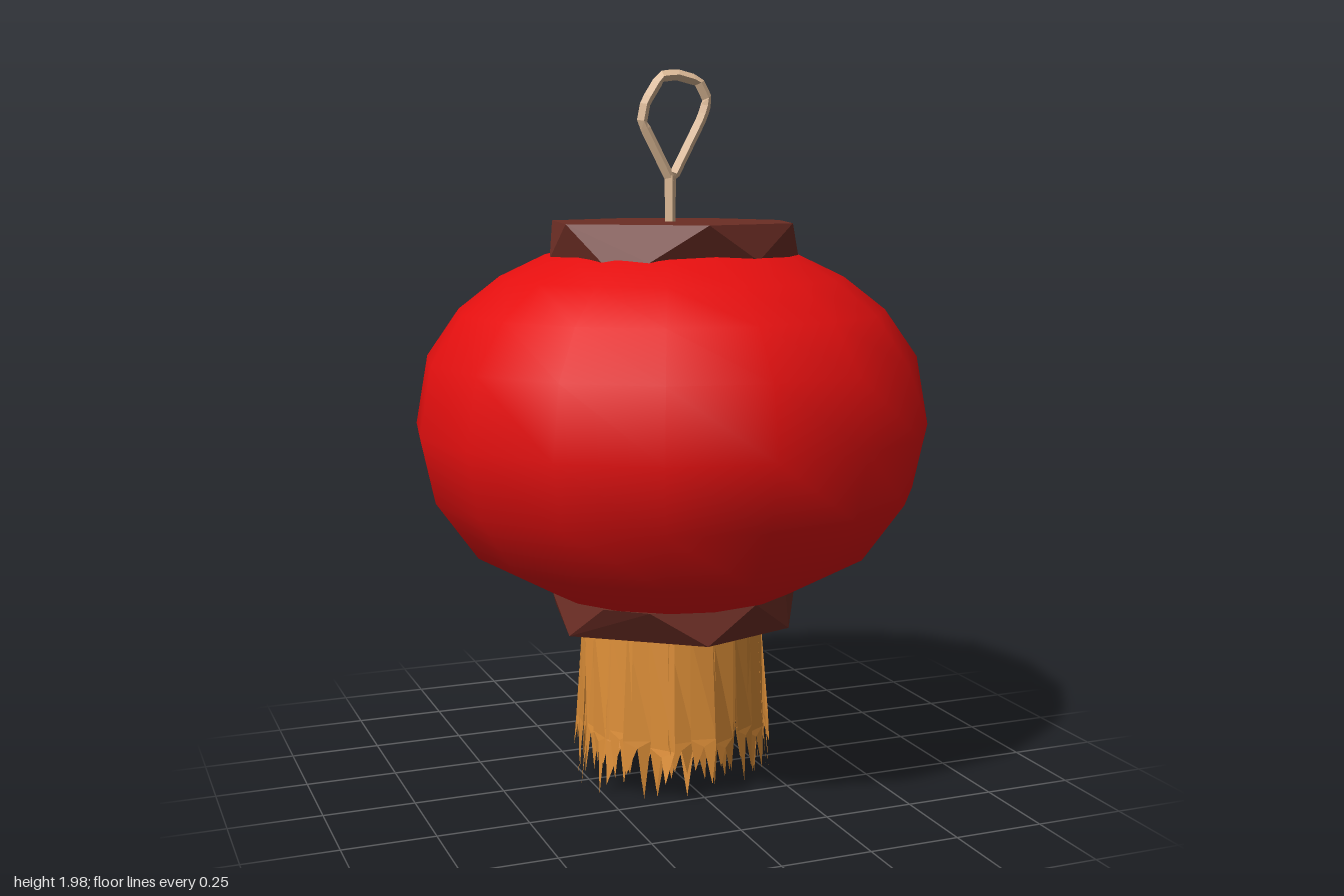
import * as THREE from 'three';
import { ConvexGeometry } from 'three/addons/geometries/ConvexGeometry.js';

const mat = (name, color, extra = {}) => {
  const m = new THREE.MeshStandardMaterial({ color, ...extra });
  m.name = name;
  return m;
};

// small seeded random numbers for the frayed fringe
function seeded(seed) {
  return () => {
    seed = (seed * 16807) % 2147483647;
    return seed / 2147483647;
  };
}

// ring of strips, each with a ragged two-pointed end
function fringeRing(count, rTop, rBottom, yTop, rand) {
  const pos = [];
  const step = (Math.PI * 2) / count;
  const point = (angle, y, off) => {
    const t = (yTop - y) / yTop;
    const r = rTop + (rBottom - rTop) * t + off * t;
    return [Math.sin(angle) * r, y, Math.cos(angle) * r];
  };
  for (let i = 0; i < count; i++) {
    const a = i * step + (rand() - 0.5) * step * 0.3;
    const w = step * 0.56;
    const twist = (rand() - 0.5) * 0.05;
    const yBase = 0.17 + rand() * 0.04;
    const tl = point(a - w, yTop, 0), tr = point(a + w, yTop, 0);
    const bl = point(a - w, yBase, -twist), br = point(a + w, yBase, twist);
    const bm = point(a, yBase - 0.02, 0);
    const tip1 = point(a - w * (0.3 + rand() * 0.5), 0.03 + rand() * 0.09, -twist);
    const tip2 = point(a + w * (0.3 + rand() * 0.5), 0.02 + rand() * 0.08, twist);
    pos.push(...tl, ...bl, ...br, ...tl, ...br, ...tr);
    pos.push(...bl, ...bm, ...br);
    pos.push(...bl, ...tip1, ...bm, ...bm, ...tip2, ...br);
  }
  const g = new THREE.BufferGeometry();
  g.setAttribute('position', new THREE.Float32BufferAttribute(pos, 3));
  g.computeVertexNormals();
  return g;
}

export function createModel() {
  const group = new THREE.Group();
  const red = mat('red paper', 0xe40f0f);
  const brown = mat('brown wood', 0x6b2d24);
  const orange = mat('orange fringe', 0xdc8e38, { side: THREE.DoubleSide });
  const tan = mat('tan cord', 0xdcb996);
  const add = (name, geometry, material) => {
    const m = new THREE.Mesh(geometry, material);
    m.name = name;
    group.add(m);
    return m;
  };

  // swollen paper body
  const profile = [
    [0.27, 0.55], [0.35, 0.575], [0.56, 0.69], [0.675, 0.85], [0.714, 1.03],
    [0.68, 1.22], [0.59, 1.35], [0.475, 1.44], [0.35, 1.5], [0.27, 1.52],
  ].map(([r, y]) => new THREE.Vector2(r, y));
  add('lanternBody', new THREE.LatheGeometry(profile, 16), red);

  // faceted caps: uneven outer face, rounder face against the body
  const outer = [[-0.03, -0.35], [0.23, -0.27], [0.34, -0.03], [0.25, 0.25],
    [-0.03, 0.345], [-0.34, 0.11], [-0.27, -0.23]];
  const inner = [[-0.35, 0], [-0.28, -0.22], [-0.18, -0.305], [0.12, -0.325], [0.24, -0.26],
    [0.33, 0], [0.32, 0.14], [0.24, 0.25], [0.12, 0.32], [-0.18, 0.305], [-0.28, 0.22]];
  const cap = (yOuter, yInner) => new ConvexGeometry([
    ...outer.map(([x, z]) => new THREE.Vector3(x, yOuter, z)),
    ...inner.map(([x, z]) => new THREE.Vector3(x, yInner, z)),
  ]);
  add('topCap', cap(1.59, 1.495), brown);
  add('bottomCap', cap(0.48, 0.575), brown);

  // tassel: solid core with two layers of frayed strips
  const core = add('tasselCore', new THREE.CylinderGeometry(0.19, 0.19, 0.31, 16), orange);
  core.position.y = 0.335;
  const rand = seeded(4711);
  add('outerFringe', fringeRing(26, 0.255, 0.275, 0.485, rand), orange);
  add('innerFringe', fringeRing(20, 0.235, 0.25, 0.485, rand), orange);

  // hanging cord: short stem and a slanted loop
  const loopPoints = [[0, 1.7], [-0.085, 1.86], [-0.075, 1.91], [-0.03, 1.98], [0.015, 1.986],
    [0.08, 1.97], [0.107, 1.92], [0.09, 1.87]].map(([x, y]) => new THREE.Vector3(x, y, 0));
  const path = new THREE.CurvePath();
  loopPoints.forEach((p, i) =>
    path.add(new THREE.LineCurve3(p, loopPoints[(i + 1) % loopPoints.length])));
  add('cordLoop', new THREE.TubeGeometry(path, 32, 0.015, 4, true).toNonIndexed(), tan)
    .geometry.computeVertexNormals();
  const stem = add('cordStem',
    new THREE.CylinderGeometry(0.017, 0.015, 0.14, 4).toNonIndexed(), tan);
  stem.geometry.computeVertexNormals();
  stem.position.set(-0.003, 1.645, 0);

  return group;
}
